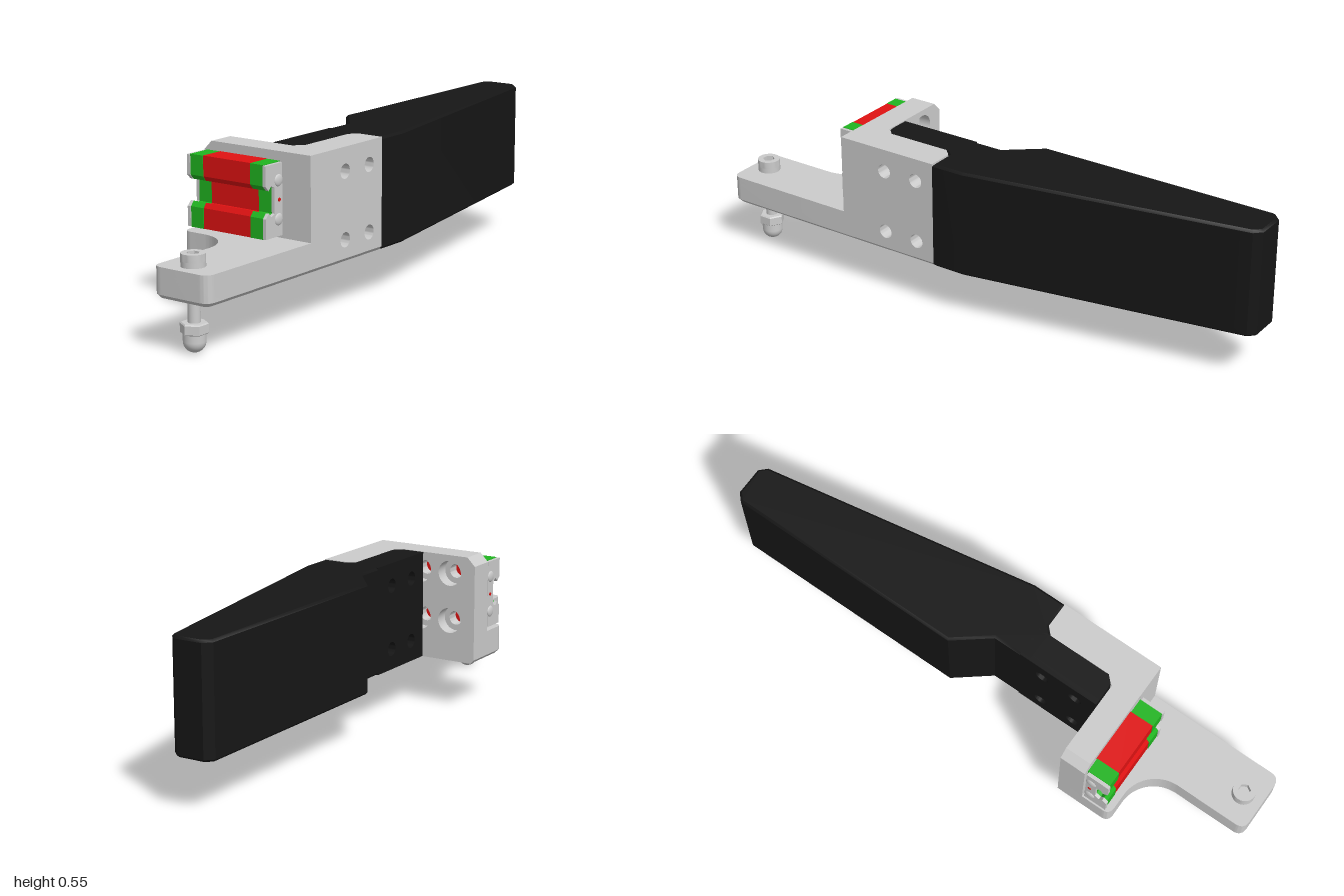
import * as THREE from 'three';
import { toCreasedNormals } from 'three/addons/utils/BufferGeometryUtils.js';

const mat = (color) => new THREE.MeshStandardMaterial({ color });
const grey = mat(0xcccccc), black = mat(0x161616), red = mat(0xe01212), green = mat(0x20b520);

export function createModel() {
  const model = new THREE.Group();

  const add = (name, geometry, material, parent = model) => {
    const mesh = new THREE.Mesh(geometry, material);
    mesh.name = name;
    parent.add(mesh);
    return mesh;
  };
  const poly = (pts) => new THREE.Shape(pts.map(([a, b]) => new THREE.Vector2(a, b)));
  const drill = (shape, centres, r) => {
    for (const [a, b] of centres) shape.holes.push(new THREE.Path().absarc(a, b, r, 0, Math.PI * 2, true));
    return shape;
  };
  const extrude = (shape, depth, opts = {}) =>
    new THREE.ExtrudeGeometry(shape, { depth, bevelEnabled: false, curveSegments: 16, ...opts });
  // Move every vertex by a rule
  const reshape = (g, rule) => {
    const p = g.attributes.position, v = new THREE.Vector3();
    for (let i = 0; i < p.count; i++) {
      rule(v.fromBufferAttribute(p, i));
      p.setXYZ(i, v.x, v.y, v.z);
    }
    return g;
  };
  const crease = (g) => toCreasedNormals(g, 0.6);
  // Shape in (-z, y), extruded along x
  const alongX = (shape, x0, x1, steps = 1) =>
    extrude(shape, x1 - x0, { steps }).rotateY(Math.PI / 2).translate(x0, 0, 0);
  // Shape in (x, -z), extruded along y, with an optional chamfer at both ends
  const alongY = (shape, y0, y1, c = 0) =>
    crease(extrude(shape, y1 - y0 - 2 * c, {
      bevelEnabled: c > 0, bevelSize: c, bevelThickness: c, bevelOffset: -c, bevelSegments: 1,
    }).rotateX(-Math.PI / 2).translate(0, y0 + c, 0));
  const rect = (a0, a1, b0, b1) => poly([[a0, b0], [a1, b0], [a1, b1], [a0, b1]]);
  const cyl = (r, y0, y1, n = 32) => new THREE.CylinderGeometry(r, r, y1 - y0, n).translate(0, (y0 + y1) / 2, 0);

  // Foot plate with rounded corners and a chamfered underside
  const foot = new THREE.Shape();
  foot.moveTo(-0.215, -0.45);
  foot.lineTo(-0.215, -0.58);
  foot.quadraticCurveTo(-0.215, -0.61, -0.185, -0.61);
  foot.lineTo(-0.13, -0.61);
  foot.absarc(-0.13, -0.74, 0.13, Math.PI / 2, 0, true);
  foot.lineTo(0, -0.965);
  foot.quadraticCurveTo(0, -1, 0.035, -1);
  foot.lineTo(0.183, -1);
  foot.quadraticCurveTo(0.218, -1, 0.218, -0.965);
  foot.lineTo(0.218, -0.45);
  add('footPlateUnderside', alongY(foot, 0.17, 0.26, 0.013), grey);
  add('footPlate', alongY(foot, 0.183, 0.27), grey);

  // Upright wall with counterbored holes at the back
  const holes = [-0.115, 0.005].flatMap((x) => [0.315, 0.485].map((y) => [x, y]));
  for (const [z, r] of [[0.405, 0.045], [0.452, 0.025]]) {
    const wall = poly([[-0.202, 0.17], [0.12, 0.17], [0.12, 0.55], [-0.185, 0.55], [-0.215, 0.52], [-0.215, 0.183]]);
    add('uprightWall', crease(extrude(drill(wall, holes, r), 0.0475).translate(0, 0, z)), grey);
  }

  // Side arm, chamfered at its tip and along its lower outer edge
  const armHoles = [-0.32, -0.19].flatMap((a) => [0.245, 0.47].map((y) => [a, y]));
  const arm = alongX(drill(rect(-0.5, -0.12, 0.17, 0.55), armHoles, 0.025), 0.1, 0.218, 9);
  add('sideArm', crease(reshape(arm, (v) => {
    v.z = Math.max(v.z, 0.12 + Math.max(0, 0.126 - v.x));
    if (v.x > 0.21 && v.y < 0.175) v.y = 0.183;
  })), grey);
  add('cornerGusset', alongY(poly([[0.101, -0.406], [0.075, -0.406], [0.075, -0.4], [0.1, -0.375]]), 0.17, 0.55), grey);

  // Blade and its drilled mounting tab
  const blade = poly([
    [0.218, -0.12], [0.218, 0], [0.045, 0.975], [0.02, 1], [-0.08, 1], [-0.106, 0.975],
    [-0.106, 0.12], [-0.01, 0], [-0.01, -0.146], [0.1, -0.146], [0.126, -0.12],
  ]);
  add('blade', alongY(blade, 0.172, 0.55, 0.008), black);
  const tab = alongX(drill(rect(-0.4, -0.1, 0.172, 0.55), armHoles, 0.025), -0.01, 0.1, 5);
  add('bladeTab', crease(reshape(tab, (v) => {
    v.z = Math.min(v.z, 0.4 - Math.max(0, v.x - 0.075));
  })), black);

  // Sliding carriage: one channel profile in coloured slices
  const carriage = new THREE.Group();
  carriage.name = 'carriage';
  model.add(carriage);
  const channel = (back, front, h) => {
    const half = [[back, h], [front, h], [front, 0.052], [0.574, 0.036], [0.562, 0.05], [0.545, 0.042]];
    const all = [...half, ...half.map(([z, y]) => [z, -y]).reverse()];
    return poly(all.map(([z, y]) => [-z, 0.4 + y]));
  };
  const mid = -0.0515;
  add('carriageBody', crease(alongX(channel(0.495, 0.585, 0.12), mid - 0.097, mid + 0.097)), red, carriage);
  for (const s of [-1, 1]) {
    const slice = (name, a, b, shape, m) =>
      add(name, crease(alongX(shape, mid + Math.min(s * a, s * b), mid + Math.max(s * a, s * b))), m, carriage);
    slice('endCap', 0.097, 0.149, channel(0.502, 0.587, 0.12), green);
    slice('endSeal', 0.149, 0.161, channel(0.506, 0.59, 0.118), grey);
    // Domed screws and a small plug on each end seal
    for (const y of [0.337, 0.463]) {
      const dome = new THREE.SphereGeometry(0.02, 20, 8, 0, Math.PI * 2, 0, Math.PI / 2).scale(1, 0.36, 1);
      const screw = add('sealScrew', dome, grey, carriage);
      screw.rotation.z = -s * Math.PI / 2;
      screw.position.set(mid + s * 0.16, y, 0.525);
    }
    const plug = add('greasePlug', cyl(0.006, 0, 0.003, 16), red, carriage);
    plug.rotation.z = -s * Math.PI / 2;
    plug.position.set(mid + s * 0.16, 0.4, 0.522);
  }

  // Adjusting bolt with socket head, hex nut and domed tip
  const bolt = new THREE.Group();
  bolt.name = 'adjustingBolt';
  bolt.position.set(0.103, 0, 0.93);
  model.add(bolt);
  const head = drill(new THREE.Shape().absarc(0, 0, 0.039, 0, Math.PI * 2), [], 0);
  const socket = Array.from({ length: 6 }, (_, i) =>
    new THREE.Vector2(Math.cos(i * Math.PI / 3), Math.sin(i * Math.PI / 3)).multiplyScalar(0.021));
  head.holes.push(new THREE.Path(socket));
  add('boltHeadBase', cyl(0.039, 0.268, 0.288), grey, bolt);
  add('boltHeadSocket', alongY(head, 0.288, 0.312), grey, bolt);
  add('boltShaft', cyl(0.02, 0.05, 0.27), grey, bolt);
  const nut = [[0, 0.06], [0.041, 0.06], [0.045, 0.063], [0.045, 0.091], [0.041, 0.095], [0, 0.095]];
  add('hexNut', toCreasedNormals(
    new THREE.LatheGeometry(nut.map(([r, y]) => new THREE.Vector2(r, y)), 6), 0.3), grey, bolt);
  add('tipCollar', cyl(0.036, 0.036, 0.062), grey, bolt);
  add('tipDome', new THREE.SphereGeometry(0.036, 32, 12, 0, Math.PI * 2, Math.PI / 2, Math.PI / 2)
    .translate(0, 0.036, 0), grey, bolt);

  return model;
}
